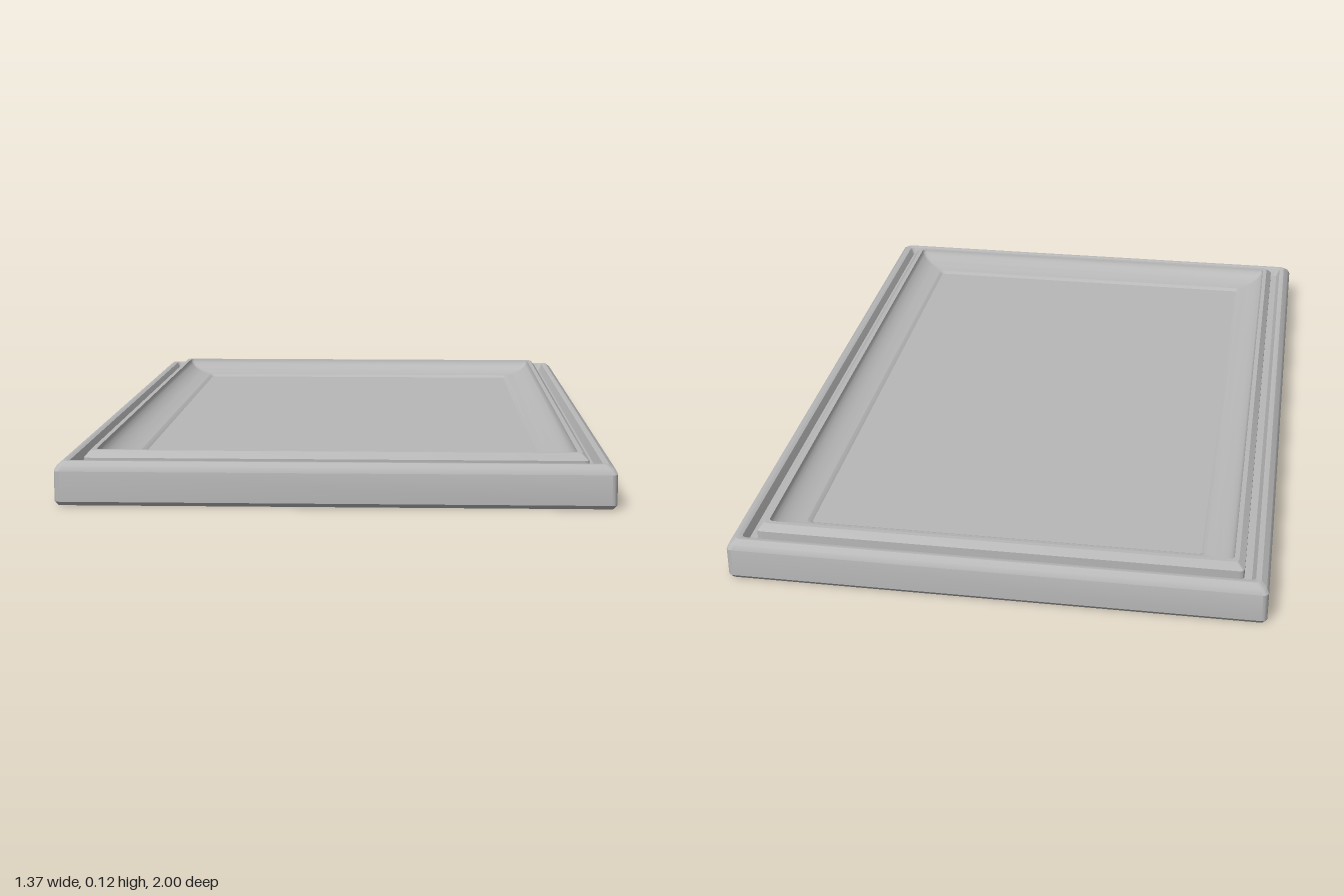
import * as THREE from 'three';
import { toCreasedNormals } from 'three/addons/utils/BufferGeometryUtils.js';

const HALF_X = 0.685, HALF_Z = 1, CORNER_STEPS = 4;

// Rounded rectangle, inset from the outer edge, at height y
function ring([inset, y, r]) {
  const points = [];
  const cx = HALF_X - inset - r, cz = HALF_Z - inset - r;
  [[1, 1], [-1, 1], [-1, -1], [1, -1]].forEach(([sx, sz], q) => {
    for (let i = 0; i <= CORNER_STEPS; i++) {
      const a = (q + i / CORNER_STEPS) * Math.PI / 2;
      points.push([sx * cx + r * Math.cos(a), y, sz * cz + r * Math.sin(a)]);
    }
  });
  return points;
}

// Skin between successive rings, with optional flat caps at either end
function skin(profile, capStart, capEnd) {
  const rings = profile.map(ring), n = rings[0].length, pos = [];
  const tri = (a, b, c) => pos.push(...a, ...b, ...c);
  for (let k = 0; k < rings.length - 1; k++) {
    for (let i = 0; i < n; i++) {
      const j = (i + 1) % n, lo = rings[k], hi = rings[k + 1];
      tri(lo[i], hi[i], hi[j]);
      tri(lo[i], hi[j], lo[j]);
    }
  }
  const first = rings[0], last = rings[rings.length - 1];
  for (let i = 0; i < n; i++) {
    const j = (i + 1) % n;
    if (capStart) tri([0, first[0][1], 0], first[i], first[j]);
    if (capEnd) tri([0, last[0][1], 0], last[j], last[i]);
  }
  const g = new THREE.BufferGeometry();
  g.setAttribute('position', new THREE.Float32BufferAttribute(pos, 3));
  return toCreasedNormals(g, 0.5);
}

export function createModel() {
  const group = new THREE.Group();
  const grey = new THREE.MeshStandardMaterial({ color: 0xb8b8b8 });
  grey.name = 'plain grey';
  const add = (name, geometry) => {
    const mesh = new THREE.Mesh(geometry, grey);
    mesh.name = name;
    group.add(mesh);
  };

  // Each profile row: inset, height, corner radius
  add('outerFrame', skin([
    [0.008, 0, 0.008], [0, 0.01, 0.014], [0, 0.085, 0.014],
    [0.006, 0.097, 0.014], [0.02, 0.108, 0.014], [0.03, 0.108, 0.012],
    [0.034, 0.106, 0.012], [0.044, 0.085, 0.01],
  ], true, false));

  // Groove floor and raised lip
  add('raisedLip', skin([
    [0.044, 0.085, 0.01], [0.063, 0.085, 0.012], [0.063, 0.108, 0.012],
    [0.078, 0.125, 0.012], [0.09, 0.125, 0.012],
  ], false, false));

  // Concave slope from the lip down to the panel
  const cove = [];
  for (let i = 0; i <= 8; i++) {
    const a = (i / 8) * Math.PI / 2 * 0.85;
    cove.push([0.09 + 0.075 * (1 - Math.cos(a)) / (1 - Math.cos(Math.PI * 0.425)),
      0.082 + 0.043 * (1 - Math.sin(a) / Math.sin(Math.PI * 0.425)), 0.012]);
  }
  // Sweep steep at the top, flattening towards the panel
  add('coveSlope', skin(cove, false, false));

  // Small step and flat panel
  add('panel', skin([
    [0.165, 0.082, 0.012], [0.168, 0.081, 0.012], [0.176, 0.075, 0.01],
  ], false, true));
  return group;
}
